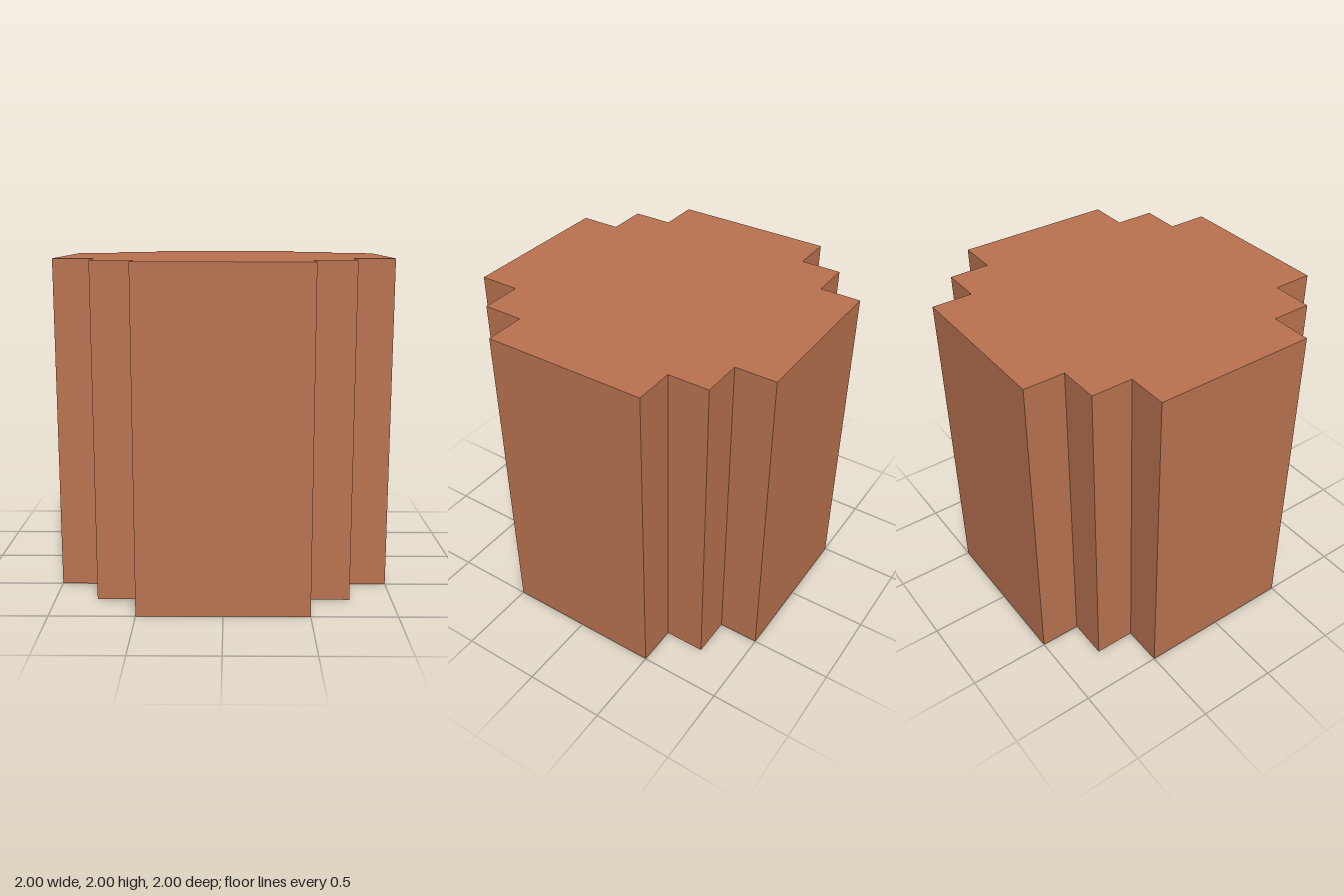
import * as THREE from 'three';

export function createModel() {
  const group = new THREE.Group();
  group.name = 'steppedColumn';

  const terracotta = new THREE.MeshStandardMaterial({ color: 0xba7350 });
  terracotta.name = 'terracotta';

  // One stepped corner of the outline, turned a quarter at a time
  const corner = [[1, 0.5], [0.75, 0.5], [0.75, 0.75], [0.5, 0.75], [0.5, 1]];
  const outline = [];
  for (let i = 0; i < 4; i++) {
    const turn = i * Math.PI / 2;
    for (const [x, y] of corner) {
      outline.push(new THREE.Vector2(x, y).rotateAround(new THREE.Vector2(), turn));
    }
  }

  // Column body, extruded upward from the ground
  const geometry = new THREE.ExtrudeGeometry(new THREE.Shape(outline), { depth: 2, bevelEnabled: false });
  geometry.rotateX(-Math.PI / 2);
  const column = new THREE.Mesh(geometry, terracotta);
  column.name = 'columnBody';
  group.add(column);

  return group;
}
